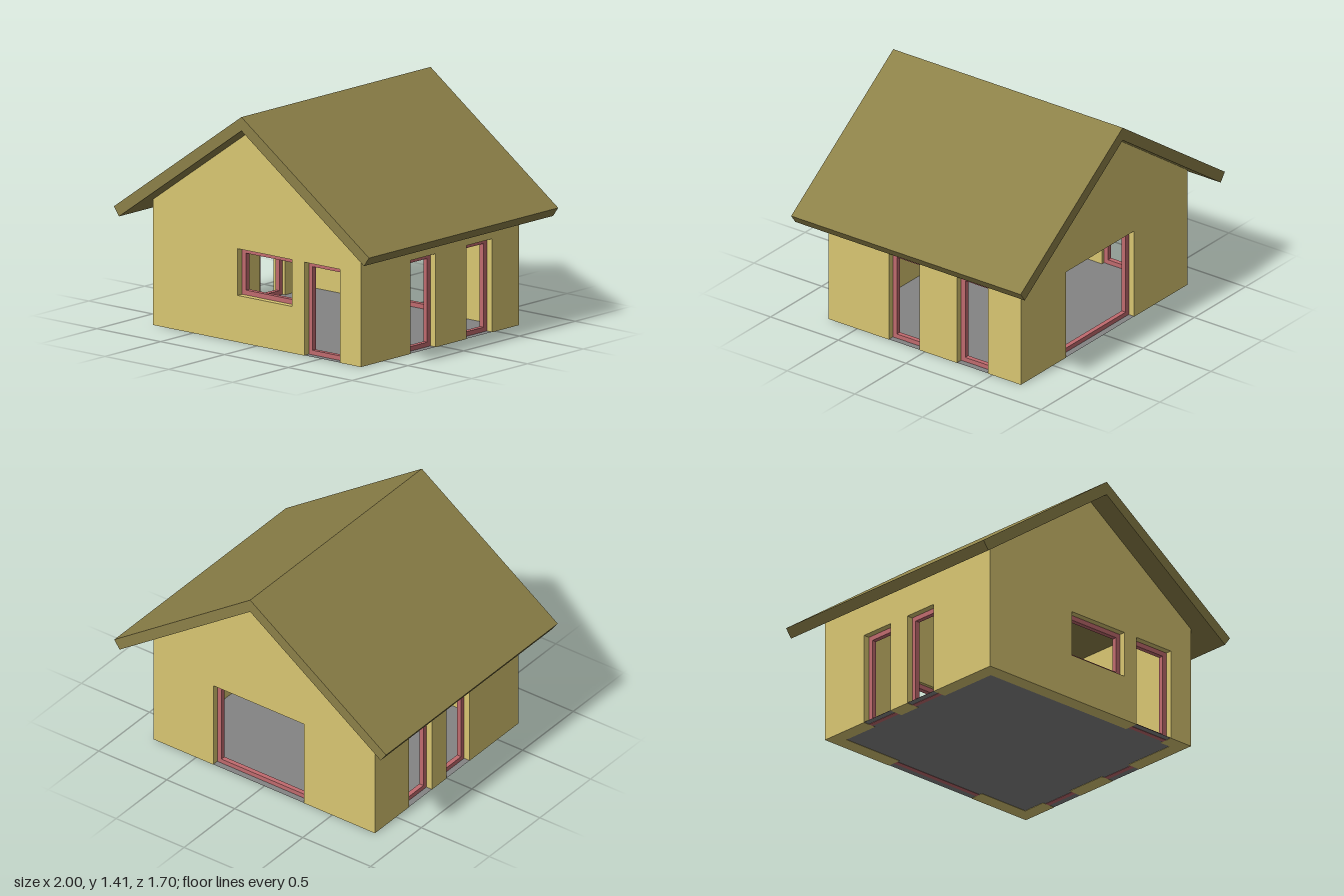
import * as THREE from 'three';

const HALF_X = 0.815, HALF_Z = 0.71, THICK = 0.09;
const RIDGE = 1.33, SLOPE = 0.698, EAVE = RIDGE - SLOPE * HALF_X;
const DOOR_TOP = 0.567, BAR = 0.03, RECESS = 0.04, FRAME_DEPTH = 0.03;

const paint = (color) => new THREE.MeshStandardMaterial({ color, flatShading: true });

function polygon(points) {
  return new THREE.Shape(points.map(([x, y]) => new THREE.Vector2(x, y)));
}

function rectPath(Type, x0, x1, y0, y1) {
  return new Type([[x0, y0], [x1, y0], [x1, y1], [x0, y1]].map(([x, y]) => new THREE.Vector2(x, y)));
}

export function createModel() {
  const house = new THREE.Group();
  house.name = 'house';
  const wallMat = paint(0xd8c672), roofMat = paint(0x8c8048);
  const frameMat = paint(0xc06a6e), floorMat = paint(0x848484);
  floorMat.side = THREE.DoubleSide;

  const add = (parent, name, geometry, material) => {
    const mesh = new THREE.Mesh(geometry, material);
    mesh.name = name;
    parent.add(mesh);
    return mesh;
  };

  // One wall seen from outside: u runs right, the outer face lies at distance dist.
  // Openings are [u0, u1, y0, y1]; those with y0 = 0 are doors cut through the base.
  function addWall(name, dist, angle, half, top, openings, isSide) {
    const group = new THREE.Group();
    group.name = name;
    group.rotation.y = angle;
    const outline = [[-half, 0]];
    openings.filter((o) => o[2] === 0).sort((a, b) => a[0] - b[0])
      .forEach(([a, b, , y]) => outline.push([a, 0], [a, y], [b, y], [b, 0]));
    outline.push([half, 0], ...top);
    const shape = polygon(outline);
    openings.filter((o) => o[2] > 0)
      .forEach(([a, b, y0, y1]) => shape.holes.push(rectPath(THREE.Path, a, b, y0, y1)));
    const geometry = new THREE.ExtrudeGeometry(shape, { depth: THICK, bevelEnabled: false });
    geometry.translate(0, 0, dist - THICK);
    if (isSide) {
      // Slant the top of the side walls to follow the roof
      const p = geometry.attributes.position;
      for (let i = 0; i < p.count; i++) {
        if (p.getY(i) > EAVE - 0.01) p.setY(i, RIDGE - SLOPE * p.getZ(i));
      }
      geometry.computeVertexNormals();
    }
    add(group, 'wallPanel', geometry, wallMat);

    // Recessed frame in every opening
    openings.forEach(([a, b, y0, y1]) => {
      const frame = rectPath(THREE.Shape, a, b, y0, y1);
      frame.holes.push(rectPath(THREE.Path, a + BAR, b - BAR, y0 + BAR, y1 - BAR));
      const g = new THREE.ExtrudeGeometry(frame, { depth: FRAME_DEPTH, bevelEnabled: false });
      g.translate(0, 0, dist - RECESS - FRAME_DEPTH);
      add(group, y0 > 0 ? 'windowFrame' : 'doorFrame', g, frameMat);
    });
    house.add(group);
  }

  // Gable walls
  const gableTop = [[HALF_X, EAVE], [0, RIDGE], [-HALF_X, EAVE]];
  addWall('frontWall', HALF_Z, 0, HALF_X, gableTop,
    [[-0.15, 0.275, 0.283, DOOR_TOP], [0.372, 0.652, 0, DOOR_TOP]], false);
  addWall('backWall', HALF_Z, Math.PI, HALF_X, gableTop,
    [[-0.374, 0.295, 0, DOOR_TOP]], false);

  // Side walls, fitted between the gables
  const sideHalf = HALF_Z - THICK;
  const sideTop = [[sideHalf, EAVE], [-sideHalf, EAVE]];
  addWall('leftWall', HALF_X, Math.PI / 2, sideHalf, sideTop,
    [[-0.266, -0.039, 0, DOOR_TOP], [0.239, 0.466, 0, DOOR_TOP]], true);
  addWall('rightWall', HALF_X, -Math.PI / 2, sideHalf, sideTop,
    [[-0.374, -0.147, 0, DOOR_TOP], [-0.002, 0.225, 0, DOOR_TOP]], true);

  // Floor
  const floor = add(house, 'floor', new THREE.PlaneGeometry(2 * HALF_X, 2 * HALF_Z), floorMat);
  floor.rotation.x = -Math.PI / 2;
  floor.position.y = 0.002;

  // Roof: two pitched slabs meeting at the ridge
  const roof = new THREE.ExtrudeGeometry(polygon([
    [0, 1.413], [-1, 0.715], [-0.96, 0.66], [0, RIDGE], [0.96, 0.66], [1, 0.715],
  ]), { depth: 1.696, bevelEnabled: false });
  roof.translate(0, 0, -0.848);
  add(house, 'roof', roof, roofMat);

  return house;
}
